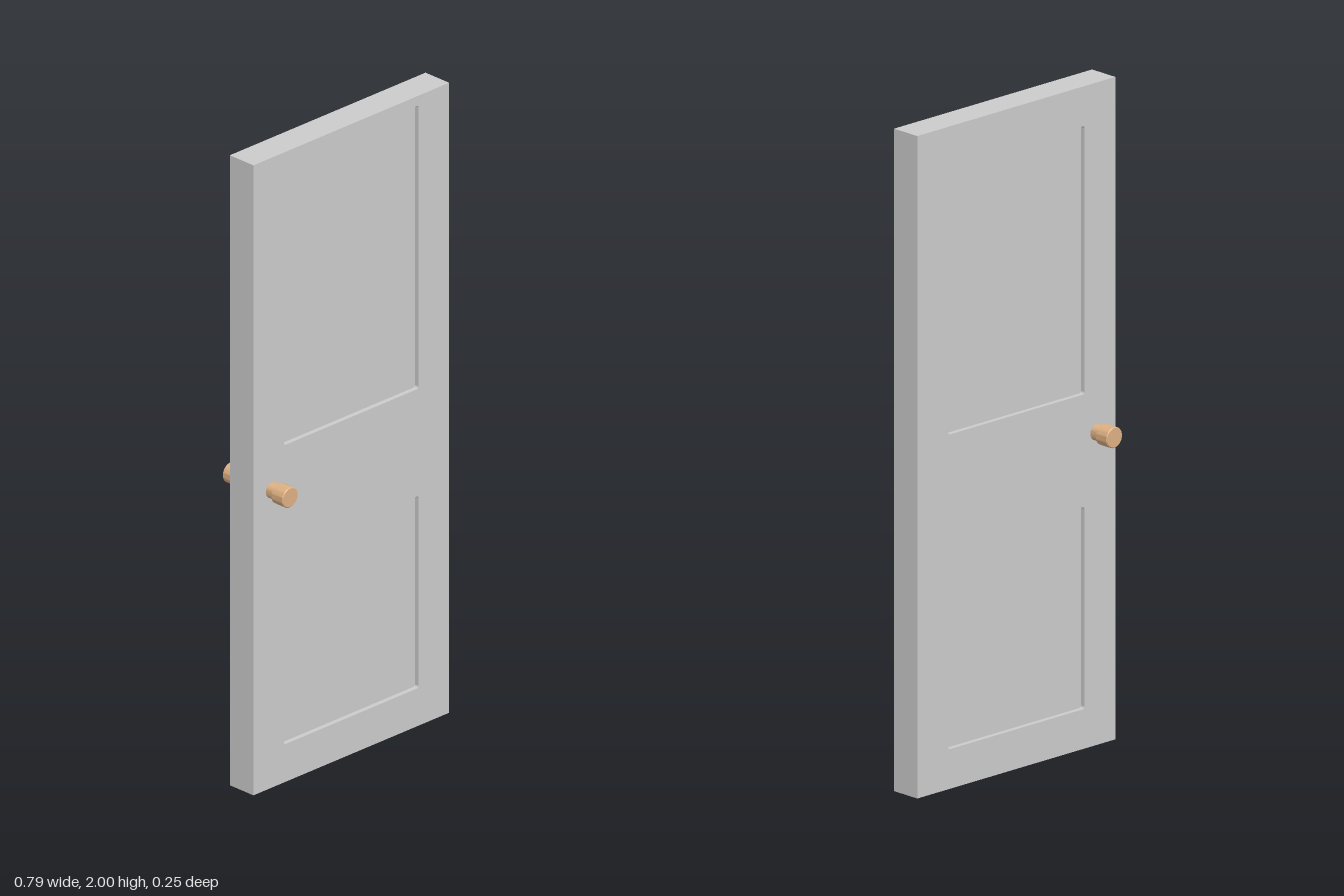
import * as THREE from 'three';
import { toCreasedNormals } from 'three/addons/utils/BufferGeometryUtils.js';

const HALF_W = 0.395, HEIGHT = 2, HALF_T = 0.048, RECESS = 0.015;

// Rectangle with slightly rounded corners
function roundedRect(path, x0, y0, x1, y1, r) {
  path.moveTo(x0 + r, y0);
  path.lineTo(x1 - r, y0);
  path.absarc(x1 - r, y0 + r, r, -Math.PI / 2, 0);
  path.lineTo(x1, y1 - r);
  path.absarc(x1 - r, y1 - r, r, 0, Math.PI / 2);
  path.lineTo(x0 + r, y1);
  path.absarc(x0 + r, y1 - r, r, Math.PI / 2, Math.PI);
  path.lineTo(x0, y0 + r);
  path.absarc(x0 + r, y0 + r, r, Math.PI, Math.PI * 1.5);
  return path;
}

// Outer layer of the door, pierced by two panel openings
function frameGeometry(upperTop) {
  const shape = new THREE.Shape([
    new THREE.Vector2(-HALF_W, 0), new THREE.Vector2(HALF_W, 0),
    new THREE.Vector2(HALF_W, HEIGHT), new THREE.Vector2(-HALF_W, HEIGHT),
  ]);
  for (const [bottom, top] of [[0.12, 0.73], [1.07, upperTop]]) {
    shape.holes.push(roundedRect(new THREE.Path(), -0.272, bottom, 0.272, top, 0.008));
  }
  return new THREE.ExtrudeGeometry(shape, { depth: RECESS, bevelEnabled: false, curveSegments: 4 });
}

// Stem and drum-shaped grip with softened rims, pointing along +z
function knobGeometry() {
  const profile = [
    [0.0245, HALF_T - 0.01], [0.0245, 0.075], [0.029, 0.075], [0.0315, 0.0775],
    [0.0315, 0.1205], [0.029, 0.123], [0, 0.123],
  ].map(([r, y]) => new THREE.Vector2(r, y));
  const lathe = new THREE.LatheGeometry(profile, 32);
  lathe.rotateX(Math.PI / 2);
  return toCreasedNormals(lathe, Math.PI / 6);
}

export function createModel() {
  const door = new THREE.Group();
  door.name = 'door';
  const grey = new THREE.MeshStandardMaterial({ color: 0xcccccc });
  const brass = new THREE.MeshStandardMaterial({ color: 0xddb083 });

  const add = (name, geometry, material) => {
    const mesh = new THREE.Mesh(geometry, material);
    mesh.name = name;
    door.add(mesh);
    return mesh;
  };

  // Core, whose faces show as the sunken panels
  const coreHalf = HALF_T - RECESS;
  add('panelCore', new THREE.BoxGeometry(HALF_W * 2, HEIGHT, coreHalf * 2), grey).position.y = HEIGHT / 2;

  // Frame and knob on each face; the front upper panel reaches higher
  const knob = knobGeometry();
  for (const [side, turn, upperTop] of [['front', 0, 1.97], ['back', Math.PI, 1.88]]) {
    const frame = add(side + 'Frame', frameGeometry(upperTop), grey);
    frame.rotation.y = turn;
    frame.position.z = turn ? -coreHalf : coreHalf;

    const handle = add(side + 'Knob', knob, brass);
    handle.position.set(-0.32, 0.945, 0);
    handle.rotation.y = turn;
  }
  return door;
}
